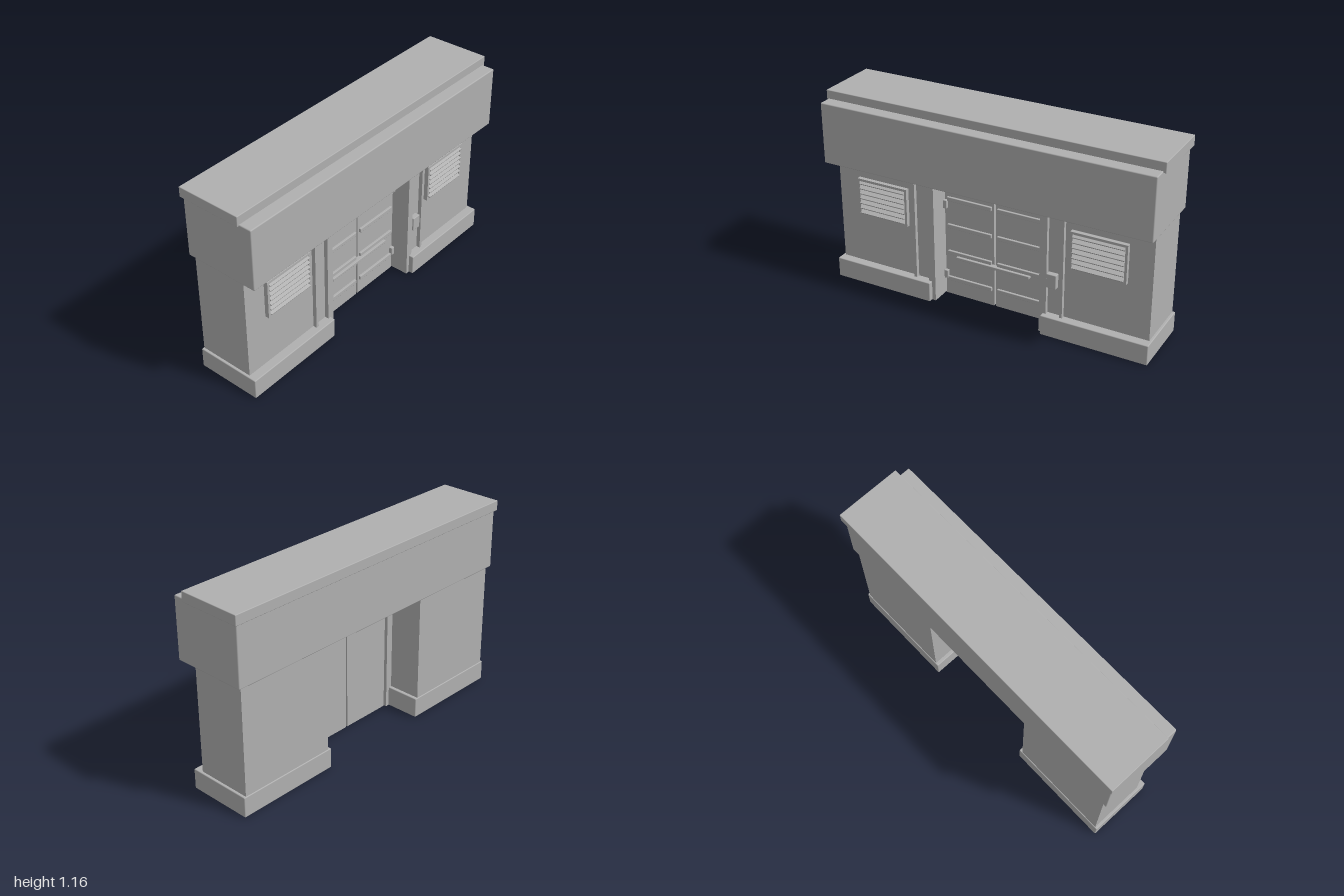
import * as THREE from 'three';
import { RoundedBoxGeometry } from 'three/addons/geometries/RoundedBoxGeometry.js';

export function createModel() {
  const model = new THREE.Group();
  model.name = 'entranceWall';
  const concrete = new THREE.MeshStandardMaterial({ color: 0xb0b0b0 });
  concrete.name = 'concreteGrey';

  // Box from its limits, with a softened edge when a radius is given
  function block(name, [x0, x1], [y0, y1], [z0, z1], radius = 0, parent = model) {
    const size = [x1 - x0, y1 - y0, z1 - z0];
    const geometry = radius
      ? new RoundedBoxGeometry(...size, 2, radius)
      : new THREE.BoxGeometry(...size);
    const mesh = new THREE.Mesh(geometry, concrete);
    mesh.name = name;
    mesh.position.set((x0 + x1) / 2, (y0 + y1) / 2, (z0 + z1) / 2);
    parent.add(mesh);
    return mesh;
  }
  // Limits on the x axis, mirrored for the right-hand side (-1)
  const span = (side, a, b) => (side > 0 ? [a, b] : [-b, -a]);

  // Roof slab and deep header
  block('roofSlab', [-1, 1], [1.1, 1.16], [-0.23, 0.155], 0.004);
  block('header', [-0.99, 0.985], [0.75, 1.11], [-0.215, 0.23], 0.006);

  // Ventilation louver: open frame, back plate and tilted slats
  function louver() {
    const group = new THREE.Group();
    group.name = 'louver';
    const w = 0.162, h = 0.115, rim = 0.014;
    const shape = new THREE.Shape();
    shape.moveTo(-w, -h).lineTo(w, -h).lineTo(w, h).lineTo(-w, h).closePath();
    const hole = new THREE.Path();
    const iw = w - rim, ih = h - rim;
    hole.moveTo(-iw, -ih).lineTo(-iw, ih).lineTo(iw, ih).lineTo(iw, -ih).closePath();
    shape.holes.push(hole);
    const frame = new THREE.Mesh(
      new THREE.ExtrudeGeometry(shape, { depth: 0.026, bevelEnabled: false }), concrete);
    frame.name = 'louverFrame';
    group.add(frame);
    for (let i = 0; i < 7; i++) {
      const y = (i - 3) * 0.0305;
      const slat = block('louverSlat', [-iw, iw], [y - 0.004, y + 0.004], [0.006, 0.034], 0, group);
      slat.rotation.x = 0.5;
    }
    return group;
  }

  for (const side of [-1, 1]) {
    // Wall pier, plinth, jamb and slim vertical trim
    block('wallPier', span(side, 0.37, 0.963), [0.06, 0.76], [-0.2, 0.13]);
    block('plinth', span(side, 0.35, 0.978), [0, 0.12], [-0.205, 0.182], 0.005);
    block('doorJamb', span(side, 0.328, 0.37), [0, 0.75], [0, 0.153]);
    block('verticalTrim', span(side, 0.45, 0.467), [0.11, 0.755], [0.125, 0.153]);

    const vent = louver();
    vent.position.set(side * 0.664, 0.545, 0.129);
    model.add(vent);

    // Door leaf with raised rails and hinges
    block('doorLeaf', span(side, 0.005, 0.317), [0.004, 0.713], [0.01, 0.047]);
    for (const y of [0.11, 0.278, 0.446, 0.615]) {
      block('doorRail', span(side, 0.018, 0.298), [y - 0.012, y + 0.012], [0.04, 0.06], 0.003);
    }
    for (const y of [0.135, 0.58]) {
      block('hinge', span(side, 0.297, 0.32), [y - 0.025, y + 0.025], [0.04, 0.066], 0.003);
    }
  }

  // Lintel above the doors
  block('doorLintel', [-0.33, 0.33], [0.72, 0.755], [0, 0.153]);

  // Bar across both leaves
  block('pushBar', [-0.235, 0.225], [0.252, 0.269], [0.045, 0.075], 0.003);

  // Control box beside the door
  block('controlBox', [0.372, 0.43], [0.29, 0.375], [0.12, 0.16], 0.004);

  return model;
}
